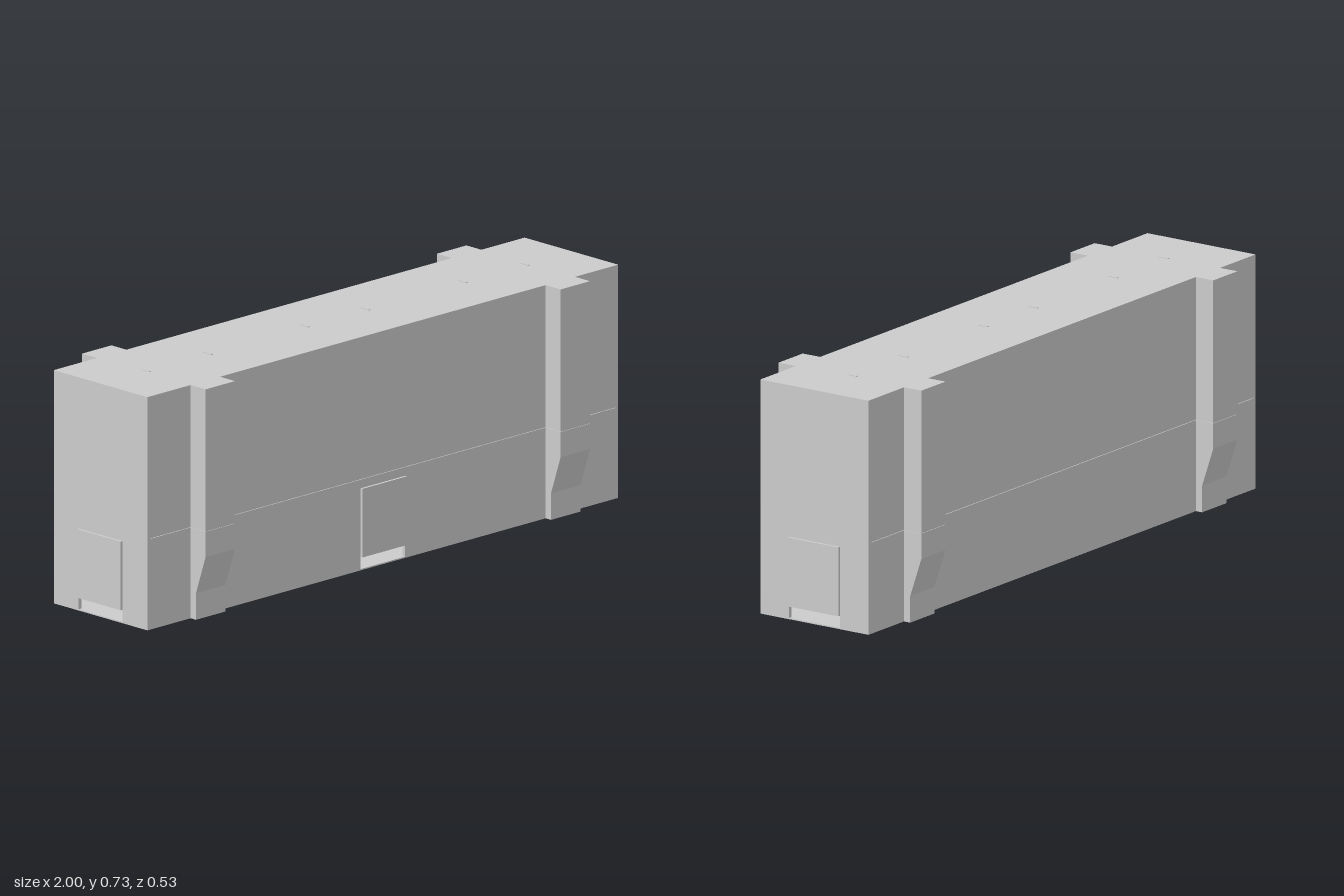
import * as THREE from 'three';

const L = 0.992, W = 0.2, H = 0.73;          // half length, half depth, height
const DOOR = 0.094, DOOR_TOP = 0.257, GAP = 0.042;
const SEAM = 0.285, WALL = 0.012, FLOOR = 0.004;

const grey = new THREE.MeshStandardMaterial({ color: 0xcccccc, flatShading: true });

function add(parent, name, geometry, x = 0, y = 0, z = 0) {
  const mesh = new THREE.Mesh(geometry, grey);
  mesh.name = name;
  mesh.position.set(x, y, z);
  parent.add(mesh);
  return mesh;
}

// Box given by its lower and upper limits
function block(parent, name, x0, x1, y0, y1, z0, z1) {
  return add(parent, name, new THREE.BoxGeometry(x1 - x0, y1 - y0, z1 - z0),
    (x0 + x1) / 2, (y0 + y1) / 2, (z0 + z1) / 2);
}

// Wall panel in the xy plane with a doorway open down to the floor
function doorwayWall(half, top) {
  const shape = new THREE.Shape([
    [-half, 0], [-DOOR, 0], [-DOOR, DOOR_TOP], [DOOR, DOOR_TOP],
    [DOOR, 0], [half, 0], [half, top], [-half, top],
  ].map(([x, y]) => new THREE.Vector2(x, y)));
  return new THREE.ExtrudeGeometry(shape, { depth: WALL, bevelEnabled: false });
}

// Side profile of a pier, split at the seam; u runs outward from the wall
function pierGeometry(points, width) {
  const shape = new THREE.Shape(points.map(([u, y]) => new THREE.Vector2(u, y)));
  const g = new THREE.ExtrudeGeometry(shape, { depth: width, bevelEnabled: false });
  g.translate(0, 0, -width / 2);
  return g.rotateY(-Math.PI / 2);
}

export function createModel() {
  const model = new THREE.Group();
  model.name = 'warehouse';
  const s = 0.001; // half height of the seam groove

  // Floor and roof
  block(model, 'floor', -L, L, 0, FLOOR, -W, W);
  block(model, 'roof', -L, L, H - WALL, H, -W, W);

  // Long walls: lower and upper panels with a shallow groove between
  add(model, 'frontLowerWall', doorwayWall(L, SEAM - s), 0, 0, W - WALL);
  block(model, 'backLowerWall', -L, L, 0, SEAM - s, -W, -W + WALL);
  for (const side of [1, -1]) {
    const label = side > 0 ? 'front' : 'back';
    const outer = side * W, inner = side * (W - WALL);
    block(model, label + 'UpperWall', -L, L, SEAM + s, H - 0.001,
      Math.min(outer, inner), Math.max(outer, inner));
    const zc = side * (W - WALL / 2 - 0.001);
    block(model, label + 'SeamBacking', -L + 0.002, L - 0.002, SEAM - 0.004, SEAM + 0.004,
      zc - 0.004, zc + 0.004);
  }

  // End walls with doorways
  for (const side of [1, -1]) {
    const wall = add(model, side > 0 ? 'leftEndWall' : 'rightEndWall',
      doorwayWall(W, H), side * (L - WALL), 0, 0);
    wall.rotation.y = side * Math.PI / 2;
  }

  // Roller doors, each raised a little above the floor
  block(model, 'frontDoor', -DOOR, DOOR, GAP, DOOR_TOP, W - 0.004, W + 0.008);
  block(model, 'leftDoor', L - 0.004, 1, GAP, DOOR_TOP, -DOOR, DOOR);
  block(model, 'rightDoor', -1, -L + 0.004, GAP, DOOR_TOP, -DOOR, DOOR);

  // Piers with a tapered foot
  const lower = pierGeometry([[0.19, 0], [0.223, 0], [0.223, 0.083], [0.264, 0.205],
    [0.264, SEAM - s], [0.19, SEAM - s]], 0.124);
  const upper = pierGeometry([[0.19, SEAM + s], [0.264, SEAM + s], [0.264, H], [0.19, H]], 0.124);
  const core = pierGeometry([[0.19, SEAM - 0.004], [0.262, SEAM - 0.004],
    [0.262, SEAM + 0.004], [0.19, SEAM + 0.004]], 0.12);
  for (const x of [-0.748, 0.748]) {
    for (const side of [1, -1]) {
      const pier = new THREE.Group();
      pier.name = (side > 0 ? 'front' : 'back') + (x > 0 ? 'Left' : 'Right') + 'Pier';
      pier.position.x = x;
      pier.rotation.y = side > 0 ? 0 : Math.PI;
      add(pier, 'pierFoot', lower);
      add(pier, 'pierShaft', upper);
      add(pier, 'pierSeam', core);
      model.add(pier);

      // Small stack of vents on the side of each back pier
      if (side < 0) {
        for (let i = 0; i < 3; i++) {
          add(model, 'pierVent', new THREE.BoxGeometry(0.003, 0.014, 0.014),
            x - 0.0625, 0.57 + i * 0.024, -0.232);
        }
      }
    }
  }

  // Narrow roof vents along the centre line
  for (const x of [-0.8, -0.54, -0.13, 0.125, 0.535, 0.795]) {
    add(model, 'roofVent', new THREE.BoxGeometry(0.008, 0.004, 0.034), x, H, 0);
  }
  return model;
}
